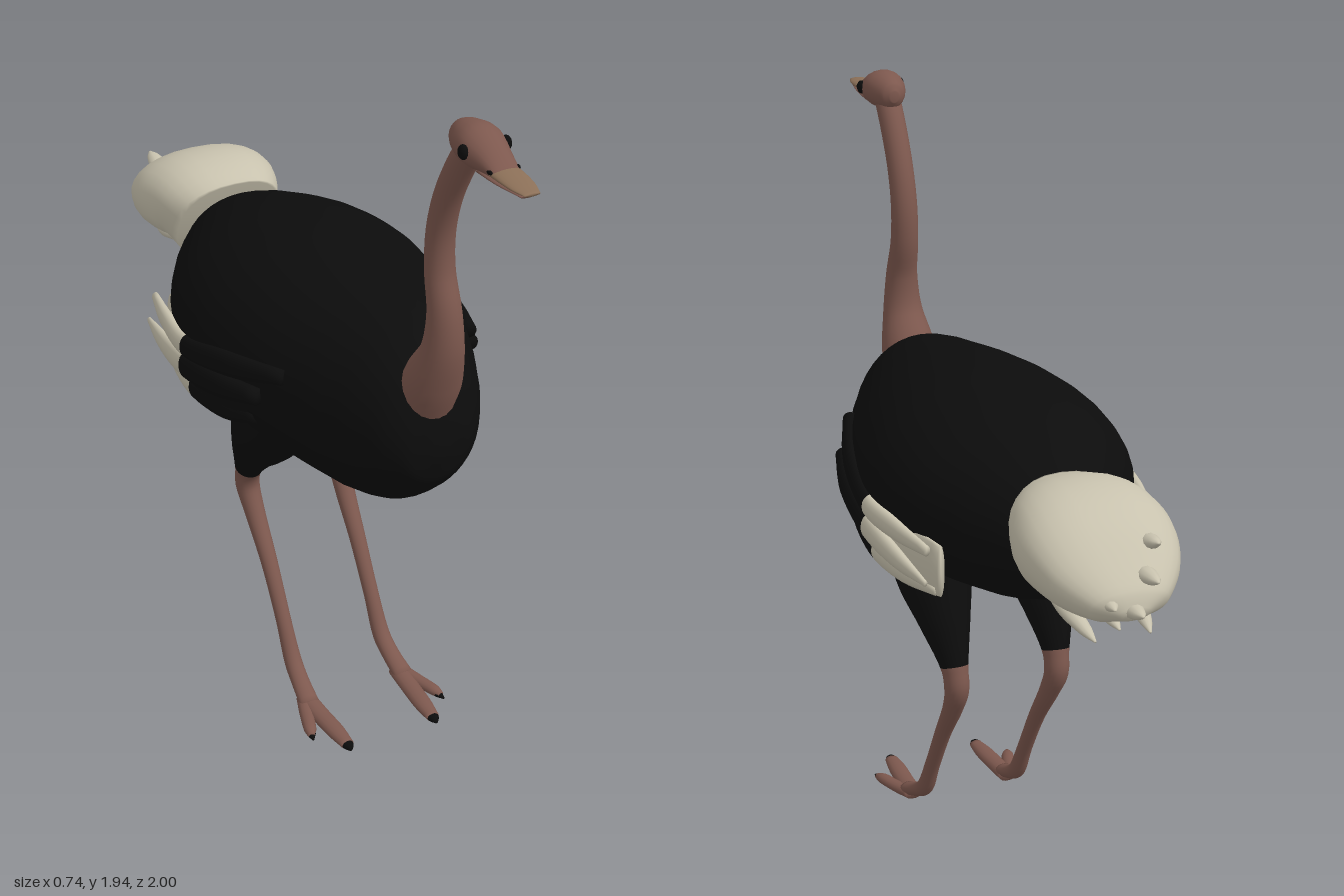
import * as THREE from 'three';

const mat = (name, color, extra) => Object.assign(new THREE.MeshStandardMaterial({ color }), { name }, extra);

// Smooth loft through sections [x, y, z, radiusX, radiusOther]; squareness < 1 gives boxier rings.
// axis fixes the ring plane; split is the section index where a second material takes over.
function loft(sections, { radial = 20, steps = 5, axis = null, split = 0, power = 1 } = {}) {
  const path = new THREE.CatmullRomCurve3(sections.map(s => new THREE.Vector3(s[0], s[1], s[2])));
  const radii = new THREE.CatmullRomCurve3(sections.map(s => new THREE.Vector3(s[3], s[4], 0)), false, 'catmullrom', 0.5);
  const rings = (sections.length - 1) * steps;
  const pos = [], index = [];
  const soft = v => Math.sign(v) * Math.abs(v) ** power;
  for (let i = 0; i <= rings; i++) {
    const c = path.getPoint(i / rings), r = radii.getPoint(i / rings);
    const t = axis || path.getTangent(i / rings);
    const side = new THREE.Vector3(1, 0, 0).addScaledVector(t, -t.x).normalize();
    const up = new THREE.Vector3().crossVectors(t, side);
    for (let j = 0; j < radial; j++) {
      const a = j / radial * Math.PI * 2;
      const p = c.clone()
        .addScaledVector(side, soft(Math.cos(a)) * Math.max(r.x, 0.001))
        .addScaledVector(up, soft(Math.sin(a)) * Math.max(r.y, 0.001));
      pos.push(p.x, p.y, p.z);
    }
  }
  const first = sections[0], last = sections[sections.length - 1], capA = pos.length / 3;
  pos.push(...first.slice(0, 3), ...last.slice(0, 3));
  for (let j = 0; j < radial; j++) index.push(capA, (j + 1) % radial, j);
  for (let i = 0; i < rings; i++) for (let j = 0; j < radial; j++) {
    const a = i * radial + j, b = i * radial + (j + 1) % radial;
    index.push(a, b, b + radial, a, b + radial, a + radial);
  }
  for (let j = 0; j < radial; j++) index.push(capA + 1, rings * radial + j, rings * radial + (j + 1) % radial);
  const g = new THREE.BufferGeometry();
  g.setAttribute('position', new THREE.Float32BufferAttribute(pos, 3));
  g.setIndex(index);
  g.computeVertexNormals();
  if (split) {
    const cut = radial * 3 + split * steps * radial * 6;
    g.addGroup(0, cut, 0);
    g.addGroup(cut, index.length - cut, 1);
  }
  return g;
}

export function createModel() {
  const root = new THREE.Group();
  root.name = 'bird';
  const black = mat('blackPlumage', 0x0c0c0c);
  const cream = mat('creamPlumage', 0xc8c2ae);
  const skin = mat('skin', 0x7d584e);
  const horn = mat('beakHorn', 0x8c7058);
  const add = (name, geometry, material, parent = root) => {
    const m = new THREE.Mesh(geometry, material);
    m.name = name;
    parent.add(m);
    return m;
  };
  const ball = (name, x, y, z, rx, ry, rz, material, parent) => {
    const m = add(name, new THREE.SphereGeometry(1, 16, 12), material, parent);
    m.position.set(x, y, z);
    m.scale.set(rx, ry, rz);
  };

  // Body: [z, bottom, top, half width]
  const body = [
    [0.637, 0.99, 1.03, 0.02], [0.625, 0.93, 1.10, 0.085], [0.58, 0.875, 1.2, 0.14], [0.5, 0.81, 1.265, 0.19],
    [0.4, 0.78, 1.295, 0.238], [0.2, 0.775, 1.325, 0.31], [0.03, 0.778, 1.337, 0.343], [-0.1, 0.805, 1.33, 0.345],
    [-0.25, 0.835, 1.308, 0.313], [-0.4, 0.865, 1.265, 0.235], [-0.5, 0.905, 1.215, 0.165],
    [-0.58, 0.955, 1.14, 0.115], [-0.64, 1.0, 1.06, 0.06],
  ].map(([z, lo, hi, w]) => [0, (lo + hi) / 2, z, w, (hi - lo) / 2]);
  add('body', loft(body, { radial: 40, axis: new THREE.Vector3(0, 0, -1) }), black);

  // Tail plume and its loose feathers
  add('tail', loft([
    [0, 1.115, -0.56, 0.15, 0.14], [0, 1.15, -0.64, 0.185, 0.125], [0, 1.135, -0.74, 0.195, 0.115],
    [0, 1.1, -0.84, 0.165, 0.085], [0, 1.07, -0.92, 0.1, 0.05], [0, 1.055, -0.95, 0.03, 0.015],
  ], { radial: 28, power: 0.85 }), cream);
  const tailFeathers = [ // base x, y, z and tip x, y, z
    [-0.085, 1.17, -0.79, -0.085, 1.2, -0.89], [-0.045, 1.13, -0.86, -0.05, 1.14, -0.97],
    [0, 1.06, -0.89, 0, 1.075, -1.0], [0.05, 1.09, -0.86, 0.055, 1.085, -0.965],
    [-0.1, 1.03, -0.68, -0.07, 0.975, -0.89], [0, 1.02, -0.68, 0, 0.985, -0.87], [0.1, 1.03, -0.68, 0.07, 0.975, -0.89],
  ];
  for (const [x, y, z, tx, ty, tz] of tailFeathers) {
    const at = (f, r) => [x + (tx - x) * f, y + (ty - y) * f, z + (tz - z) * f, r, r * 0.8];
    add('tailFeather', loft([at(0, 0.015), at(0.4, 0.025), at(0.8, 0.016), at(1, 0.003)], { radial: 10 }), cream);
  }

  // Neck
  add('neck', loft([
    [0, 1.1, 0.545, 0.07, 0.07], [0, 1.2, 0.59, 0.074, 0.07], [0, 1.3, 0.634, 0.054, 0.052], [0, 1.4, 0.638, 0.043, 0.043],
    [0, 1.5, 0.612, 0.038, 0.037], [0, 1.6, 0.611, 0.036, 0.035], [0, 1.7, 0.638, 0.035, 0.035],
    [0, 1.8, 0.69, 0.035, 0.036], [0, 1.88, 0.745, 0.035, 0.035],
  ]), skin);

  // Head and beak
  const head = new THREE.Group();
  head.name = 'head';
  root.add(head);
  const forward = new THREE.Vector3(0, 0, 1);
  add('skull', loft([
    [0, 1.887, 0.677, 0.012, 0.015], [0, 1.888, 0.69, 0.032, 0.034], [0, 1.89, 0.73, 0.05, 0.047],
    [0, 1.89, 0.78, 0.058, 0.05], [0, 1.88, 0.84, 0.045, 0.033], [0, 1.867, 0.9, 0.033, 0.01],
  ], { axis: forward }), skin, head);
  add('upperBeak', loft([
    [0, 1.868, 0.84, 0.036, 0.016], [0, 1.869, 0.9, 0.037, 0.012], [0, 1.867, 0.96, 0.032, 0.008], [0, 1.865, 1.0, 0.02, 0.004],
  ], { axis: forward }), horn, head);
  add('lowerBeak', loft([
    [0, 1.853, 0.82, 0.036, 0.01], [0, 1.854, 0.9, 0.033, 0.006], [0, 1.856, 0.985, 0.02, 0.004],
  ], { axis: forward }), skin, head);

  for (const s of [1, -1]) {
    const sideName = s > 0 ? 'left' : 'right';
    ball('eye', s * 0.055, 1.893, 0.795, 0.012, 0.018, 0.016, black, head);
    ball('nostril', s * 0.035, 1.874, 0.878, 0.006, 0.005, 0.01, black, head);

    // Wing: flat panel with three long feathers, pale towards the tips
    const wing = new THREE.Group();
    wing.name = sideName + 'Wing';
    root.add(wing);
    const feathers = [
      [[0.25, 1.03, 0.25, 0.02, 0.05], [0.305, 0.99, 0.1, 0.025, 0.075], [0.32, 0.97, -0.08, 0.022, 0.09],
        [0.3, 0.965, -0.24, 0.018, 0.085], [0.26, 0.965, -0.37, 0.012, 0.07]],
      [[0.265, 1.125, 0.31, 0.02, 0.02], [0.325, 1.085, 0.12, 0.023, 0.035], [0.345, 1.04, -0.08, 0.022, 0.032],
        [0.33, 1.035, -0.24, 0.018, 0.028], [0.3, 1.03, -0.38, 0.01, 0.014]],
      [[0.305, 1.05, 0.25, 0.022, 0.022], [0.34, 1.02, 0.1, 0.025, 0.035], [0.35, 0.985, -0.08, 0.021, 0.036],
        [0.335, 0.965, -0.25, 0.018, 0.028], [0.312, 0.953, -0.4, 0.006, 0.008]],
      [[0.28, 0.96, 0.2, 0.02, 0.02], [0.31, 0.935, 0.08, 0.024, 0.035], [0.322, 0.915, -0.08, 0.022, 0.034],
        [0.305, 0.91, -0.23, 0.018, 0.028], [0.27, 0.908, -0.36, 0.008, 0.012]],
    ];
    feathers.forEach((f, i) => add(i ? 'wingFeather' : 'wingPanel',
      loft(f.map(([x, ...rest]) => [s * x, ...rest]), { radial: 16, split: 2 }), [black, cream], wing));

    // Leg: feathered thigh running into a bare shank
    const leg = new THREE.Group();
    leg.name = sideName + 'Leg';
    root.add(leg);
    add('thighAndShank', loft([
      [0.155, 0.93, 0.07, 0.1, 0.14], [0.148, 0.79, -0.01, 0.1, 0.11], [0.146, 0.68, -0.09, 0.067, 0.07],
      [0.143, 0.58, -0.148, 0.037, 0.04], [0.141, 0.52, -0.16, 0.033, 0.034], [0.138, 0.45, -0.125, 0.028, 0.027],
      [0.136, 0.33, -0.04, 0.023, 0.021], [0.136, 0.19, 0.045, 0.021, 0.02], [0.137, 0.09, 0.105, 0.024, 0.023],
      [0.14, 0.055, 0.155, 0.025, 0.02], [0.145, 0.026, 0.22, 0.028, 0.018],
    ].map(([x, ...rest]) => [s * x, ...rest]), { split: 3 }), [black, skin], leg);

    // Two toes, each with a dark claw
    const toe = pts => loft(pts.map(([x, ...rest]) => [s * x, ...rest]), { radial: 14 });
    add('mainToe', toe([[0.142, 0.025, 0.19, 0.026, 0.018], [0.138, 0.02, 0.27, 0.026, 0.017],
      [0.133, 0.018, 0.35, 0.025, 0.016], [0.13, 0.016, 0.412, 0.018, 0.012]]), skin, leg);
    add('mainClaw', toe([[0.13, 0.016, 0.4, 0.018, 0.013], [0.13, 0.015, 0.42, 0.014, 0.011], [0.13, 0.012, 0.433, 0.004, 0.004]]), black, leg);
    add('outerToe', toe([[0.148, 0.025, 0.19, 0.02, 0.016], [0.17, 0.02, 0.25, 0.019, 0.015],
      [0.19, 0.018, 0.31, 0.017, 0.014], [0.198, 0.015, 0.335, 0.009, 0.008]]), skin, leg);
    add('outerClaw', toe([[0.194, 0.015, 0.325, 0.012, 0.01], [0.2, 0.012, 0.348, 0.003, 0.003]]), black, leg);
  }
  return root;
}
